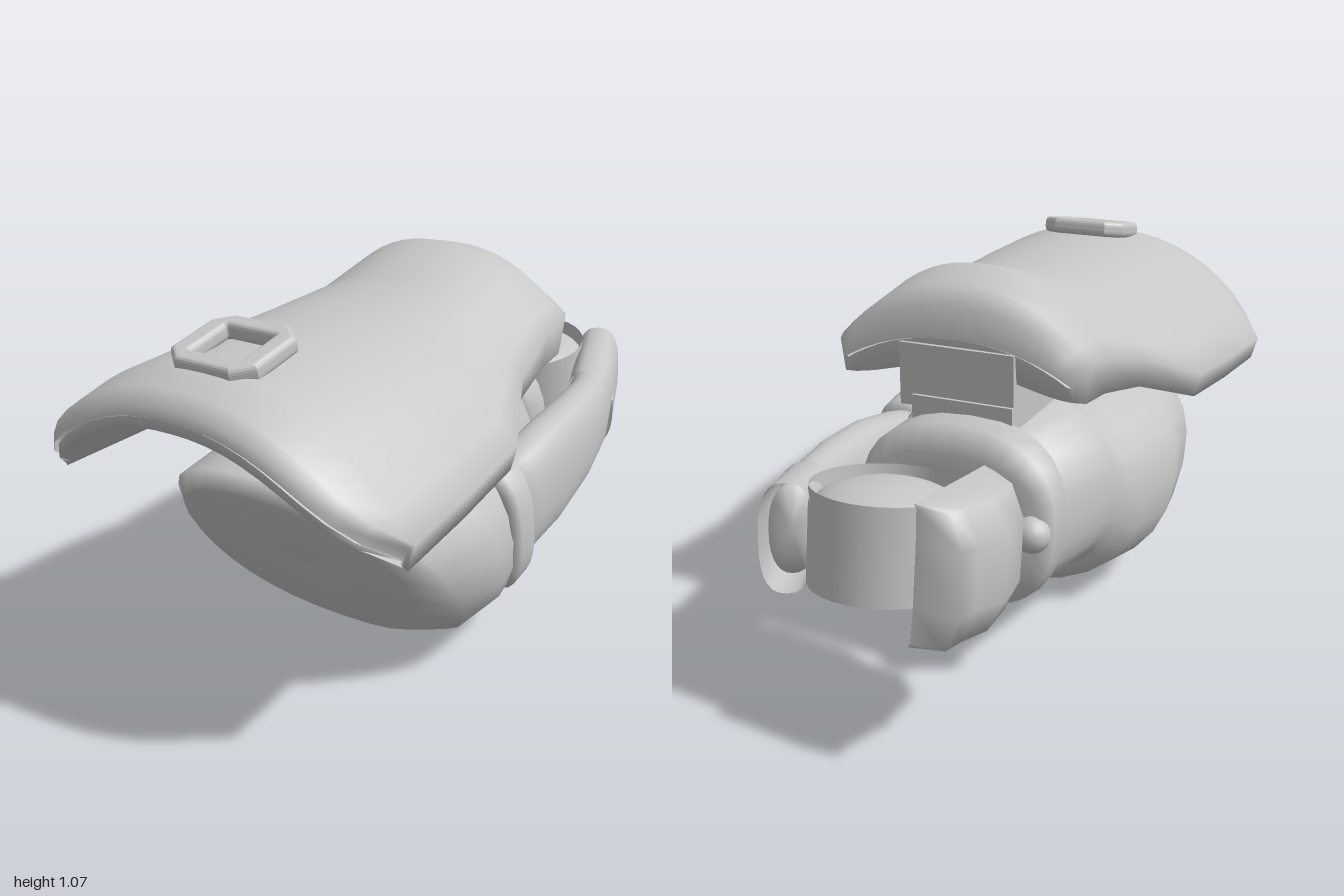
import * as THREE from 'three';

const plainGrey = new THREE.MeshStandardMaterial({ color: 0xc6c6c6, side: THREE.DoubleSide });

export function createModel() {
  const model = new THREE.Group();

  function add(name, geometry, pos = [0, 0, 0], rot = [0, 0, 0], scale = [1, 1, 1]) {
    const mesh = new THREE.Mesh(geometry, plainGrey);
    mesh.name = name;
    mesh.position.set(...pos);
    mesh.rotation.set(...rot);
    mesh.scale.set(...scale);
    model.add(mesh);
    return mesh;
  }

  // Skin over closed rings of points, ordered front to back, with optional fan caps
  function loft(rings, capped = true) {
    const n = rings[0].length, pos = rings.flat(2), index = [];
    for (let i = 0; i < rings.length - 1; i++) {
      for (let j = 0; j < n; j++) {
        const k = (j + 1) % n, a = i * n, b = a + n;
        index.push(a + j, b + j, a + k, a + k, b + j, b + k);
      }
    }
    if (capped) {
      [0, rings.length - 1].forEach((r, end) => {
        const c = pos.length / 3;
        for (let d = 0; d < 3; d++) pos.push(rings[r].reduce((s, p) => s + p[d], 0) / n);
        for (let j = 0; j < n; j++) {
          const a = r * n + j, b = r * n + (j + 1) % n;
          index.push(c, end ? b : a, end ? a : b);
        }
      });
    }
    const g = new THREE.BufferGeometry();
    g.setAttribute('position', new THREE.Float32BufferAttribute(pos, 3));
    g.setIndex(index);
    g.computeVertexNormals();
    return g;
  }

  // Oval ring from its top and bottom (z, y), centre x, half width and sideways skew in z
  function oval([tz, ty, bz, by, cx, hw, skew = 0], power = 1, n = 28) {
    const soft = v => Math.sign(v) * Math.abs(v) ** power;
    return Array.from({ length: n }, (_, j) => {
      const a = j / n * Math.PI * 2, c = soft(Math.cos(a)), t = (soft(Math.sin(a)) + 1) / 2;
      return [cx + hw * c, by + (ty - by) * t, bz + (tz - bz) * t + skew * c];
    });
  }

  // Main body: slanted front face, broad shoulder, narrower rear with a collar
  add('body', loft([
    [0.5, 0.3, 0.46, 0.25, -0.01, 0.03],
    [0.72, 0.565, 0.35, 0.05, 0.01, 0.37],
    [0.69, 0.61, 0.22, 0.0, 0.01, 0.45],
    [0.4, 0.64, 0.12, 0.015, 0.01, 0.477],
    [0.14, 0.64, -0.03, 0.045, 0.01, 0.44],
    [0.06, 0.62, -0.035, 0.08, 0, 0.39],
    [-0.02, 0.68, -0.05, 0.1, -0.02, 0.35],
    [-0.3, 0.68, -0.44, 0.18, -0.05, 0.29],
  ].map(r => oval(r, 0.86))));
  add('collar', loft([
    [-0.3, 0.66, -0.42, 0.2, -0.06, 0.26, 0.02],
    [-0.34, 0.7, -0.46, 0.19, -0.06, 0.3, 0.02],
    [-0.44, 0.7, -0.51, 0.21, -0.06, 0.3, 0.02],
    [-0.48, 0.63, -0.53, 0.28, -0.06, 0.27, 0.02],
    [-0.46, 0.57, -0.52, 0.34, -0.05, 0.2, 0.02],
  ].map(r => oval(r, 0.82))));
  add('collarKnob', new THREE.SphereGeometry(0.05, 14, 10), [-0.305, 0.46, -0.52]);

  // Mount between the body and the cover
  add('lowerMount', new THREE.BoxGeometry(0.3, 0.2, 0.4), [-0.03, 0.635, -0.16]);
  add('upperMount', new THREE.BoxGeometry(0.34, 0.18, 0.4), [-0.01, 0.79, -0.15]);

  // Arched cover: z, half width, top y, edge y, thickness, corner sweep in z
  const stations = [
    [1.0, 0.55, 0.87, 0.6, 0, -0.16],
    [0.995, 0.555, 0.9, 0.62, 0.06, -0.16],
    [0.96, 0.57, 0.935, 0.635, 0.1, -0.12],
    [0.85, 0.577, 0.965, 0.64, 0.13, -0.02],
    [0.55, 0.555, 0.98, 0.655, 0.13, 0],
    [0.27, 0.53, 0.987, 0.68, 0.13, 0],
    [0.05, 0.42, 1.005, 0.78, 0.15, 0],
    [-0.16, 0.385, 1.07, 0.84, 0.18, 0],
    [-0.28, 0.375, 1.04, 0.86, 0.2, 0],
    [-0.33, 0.355, 0.99, 0.86, 0.17, 0],
    [-0.34, 0.34, 0.9, 0.81, 0, 0],
  ];
  const coverRings = stations.map(([z, w, top, edge, thick, sweep]) => {
    const steps = 20;
    const at = (t, inner) => {
      const u = Math.abs(t), y = edge + (top - edge) * (1 - u ** 2.3);
      return [w * t * (inner ? 0.965 : 1), y - (inner ? thick * (1 - 0.45 * u ** 4) : 0), z + sweep * u ** 7];
    };
    return [false, true].flatMap(inner => Array.from({ length: steps + 1 },
      (_, i) => at((1 - 2 * i / steps) * (inner ? -1 : 1), inner)));
  });
  add('cover', loft(coverRings, false));

  // Square buckle on the cover
  const frame = (r, c, Path) => new Path([
    [r, c], [c, r], [-c, r], [-r, c], [-r, -c], [-c, -r], [c, -r], [r, -c],
  ].map(p => new THREE.Vector2(...p)));
  const buckle = frame(0.122, 0.08, THREE.Shape);
  buckle.holes.push(frame(0.092, 0.08, THREE.Path));
  add('buckle', new THREE.ExtrudeGeometry(buckle, {
    depth: 0.014, bevelEnabled: true, bevelThickness: 0.018, bevelSize: 0.015, bevelSegments: 4,
  }), [0, 0.975, 0.755], [-Math.PI / 2 + 0.2, 0, 0], [1, 0.9, 1]);

  // Side arm: root ring, flattened curved arm and end sleeve
  add('armRing', loft([
    [0.17, 0.5, 0.13, 0.19, 0.38, 0.085, 0.015],
    [0.155, 0.54, 0.11, 0.15, 0.375, 0.115, 0.015],
    [0.06, 0.54, 0.01, 0.15, 0.365, 0.11, 0.015],
    [0.03, 0.51, 0.0, 0.18, 0.36, 0.09, 0.015],
  ].map(r => oval(r, 0.8))));
  add('arm', loft([
    [0.1, 0.5, 0.08, 0.19, 0.34, 0.09],
    [-0.02, 0.53, -0.04, 0.19, 0.36, 0.09],
    [-0.2, 0.565, -0.22, 0.22, 0.362, 0.088],
    [-0.4, 0.58, -0.42, 0.27, 0.35, 0.08, -0.01],
    [-0.55, 0.585, -0.57, 0.32, 0.33, 0.068, -0.02],
    [-0.7, 0.6, -0.72, 0.36, 0.28, 0.06, -0.025],
    [-0.8, 0.62, -0.82, 0.38, 0.24, 0.055, -0.025],
  ].map(r => oval(r, 0.85))));
  add('armSleeve', loft([
    [-0.6, 0.595, -0.62, 0.335, 0.318, 0.069, -0.03],
    [-0.86, 0.655, -0.88, 0.355, 0.22, 0.064, -0.03],
  ].map(r => oval(r, 0.75)), false));

  // Rear drum: straight wall, domed top and flat base
  const tilt = 0.15;
  const drum = new THREE.Group();
  drum.name = 'rearDrum';
  drum.position.set(0.02, 0.49, -0.715);
  drum.rotation.x = tilt;
  const wall = new THREE.Mesh(new THREE.CylinderGeometry(0.2, 0.2, 0.26, 32, 1, true), plainGrey);
  wall.name = 'drumWall';
  const dome = new THREE.Mesh(new THREE.SphereGeometry(0.2, 32, 10, 0, Math.PI * 2, 0, Math.PI / 2), plainGrey);
  dome.name = 'drumDome';
  dome.position.y = 0.06;
  dome.scale.y = 0.4;
  const base = new THREE.Mesh(new THREE.CircleGeometry(0.2, 32), plainGrey);
  base.name = 'drumBase';
  base.position.y = -0.13;
  base.rotation.x = Math.PI / 2;
  drum.add(wall, dome, base);
  model.add(drum);

  // Rear side guard: a channel facing the drum, closed at the back
  const guardStations = [[-0.57, 0.04], [-0.65, 0.15], [-0.8, 0.175], [-0.9, 0.14], [-0.965, 0.13], [-0.967, 0.01]];
  const section = [[0, 0.175], [0.75, 0.165], [1, 0.08], [1, -0.08], [0.75, -0.165], [0, -0.175]];
  const gp = [], gi = [];
  guardStations.forEach(([z, depth], i) => {
    section.forEach(([u, v], j) => {
      gp.push(-0.18 - depth * u, 0.47 - (z + 0.57) * 0.15 + v, z + v * tilt);
      if (i && j) {
        const d = i * 6 + j, c = d - 1, b = d - 6, a = b - 1;
        gi.push(a, c, b, b, c, d);
      }
    });
  });
  const guard = new THREE.BufferGeometry();
  guard.setAttribute('position', new THREE.Float32BufferAttribute(gp, 3));
  guard.setIndex(gi);
  guard.computeVertexNormals();
  add('rearGuard', guard);

  return model;
}
